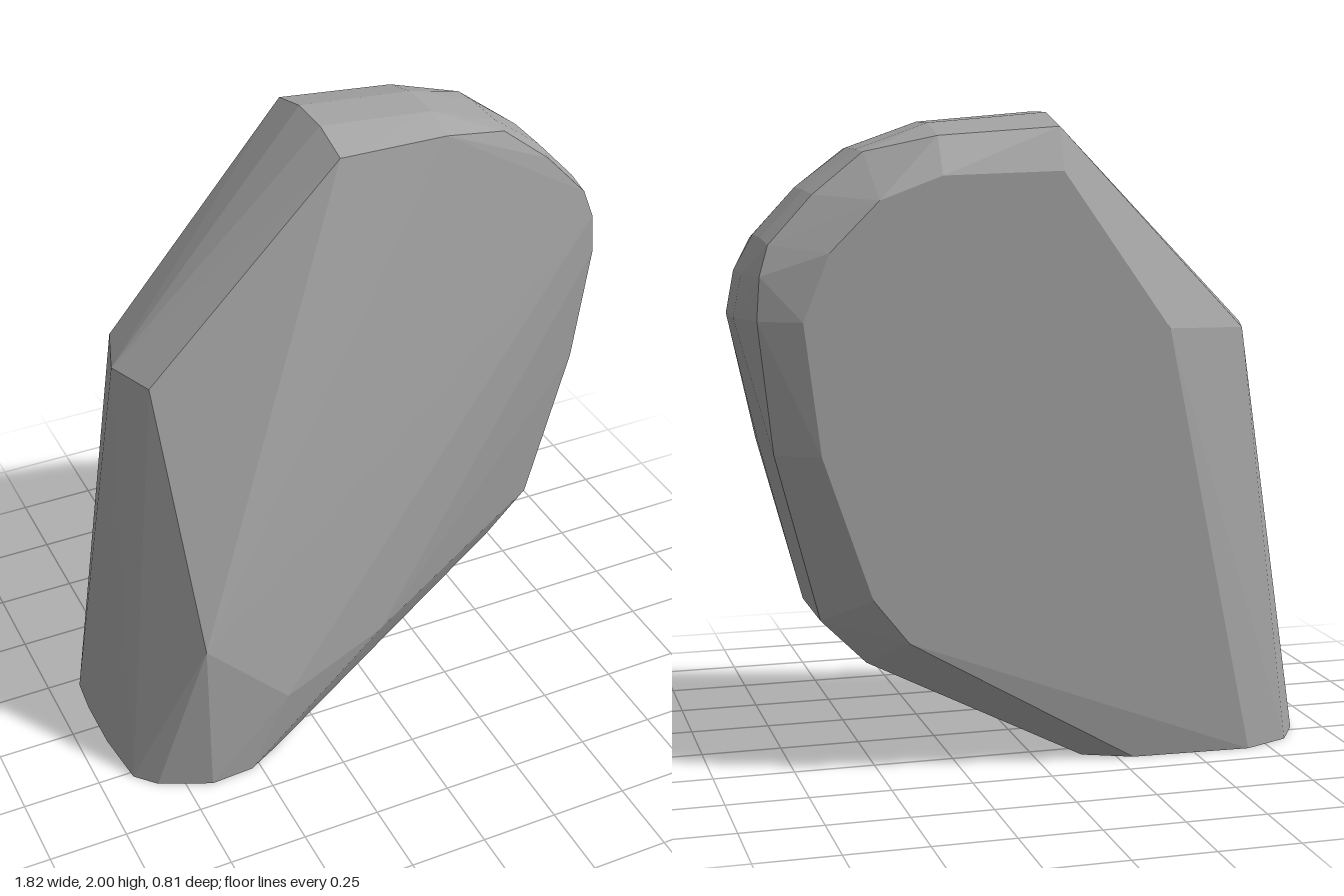
import * as THREE from 'three';
import { ConvexGeometry } from 'three/addons/geometries/ConvexGeometry.js';

export function createModel() {
  const group = new THREE.Group();
  group.name = 'boulder';
  const stone = new THREE.MeshStandardMaterial({ color: 0xa3a3a3, flatShading: true });
  stone.name = 'stone grey';

  const points = [];
  const add = (x, y, z) => points.push(new THREE.Vector3(x, y, z));

  // outermost band of the rounded rim: x, y
  const crest = [[-0.06, 2], [0.31, 1.97], [0.53, 1.893], [0.69, 1.775], [0.82, 1.635],
    [0.88, 1.53], [0.905, 1.4], [0.815, 1.0], [0.67, 0.48], [0.53, 0.34]];
  for (const [x, y] of crest) for (const z of [-0.06, -0.21]) add(x, y, z);

  // front and back edges of the rim: x, y, front z, back z
  const edges = [[-0.06, 1.96, 0.08, -0.36], [0.31, 1.935, 0.045, -0.34], [0.525, 1.888, 0.01, -0.29],
    [0.68, 1.765, 0.02, -0.3], [0.815, 1.62, 0.03, -0.31], [0.845, 1.53, 0.04, -0.335],
    [0.855, 1.4, 0.04, -0.34], [0.81, 1.0, 0.02, -0.33], [0.67, 0.48, 0.01, -0.29], [0.53, 0.34, 0.01, -0.29]];
  for (const [x, y, front, back] of edges) { add(x, y, front); add(x, y, back); }

  // flat back face: x, y
  const back = [[-0.06, 1.83], [0.31, 1.82], [0.5, 1.75], [0.65, 1.6], [0.73, 1.4],
    [0.68, 1.0], [0.53, 0.56], [0.42, 0.42], [-0.4, 1.35]];
  for (const [x, y] of back) add(x, y, -0.405);

  // shoulder on the right side and bulge low on the front
  add(-0.75, 1.33, -0.08);
  add(-0.69, 1.33, 0.08);
  add(-0.69, 1.33, -0.26);
  add(-0.67, 0.55, 0.408);
  add(-0.4, 0.27, 0.408);
  add(-0.02, 0.33, 0.3);

  // base outline on the ground: x, z
  const base = [[-0.15, -0.32], [-0.42, 0.34], [-0.53, 0.4], [-0.67, 0.408], [-0.83, 0.335], [-0.89, 0.27],
    [-0.91, 0.08], [-0.91, -0.1], [-0.9, -0.22], [-0.83, -0.335], [-0.68, -0.4], [-0.3, -0.385]];
  for (const [x, z] of base) add(x, 0, z);

  const rock = new THREE.Mesh(new ConvexGeometry(points), stone);
  rock.name = 'rock';
  group.add(rock);
  return group;
}
